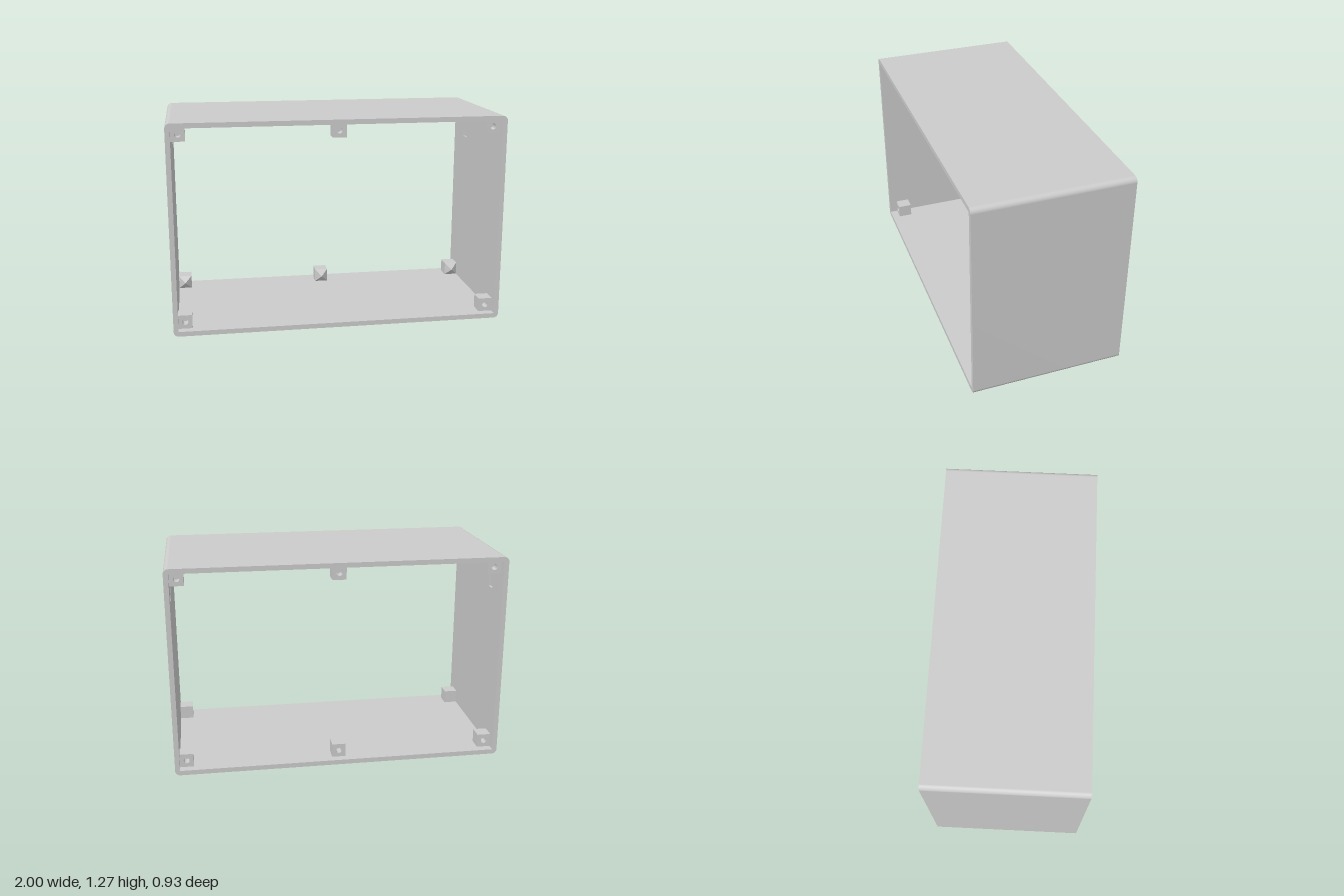
import * as THREE from 'three';
import { toCreasedNormals } from 'three/addons/utils/BufferGeometryUtils.js';

const W = 1, H = 1.268, D = 0.463;   // half width, height, half depth
const T = 0.029, R = 0.03;           // wall thickness, outer corner radius
const S = 0.083;                     // screw block size
const SET = 0.05;                    // setback of the blocks from the openings

const grey = new THREE.MeshStandardMaterial({ color: 0xcccccc, side: THREE.DoubleSide });
const flatGrey = new THREE.MeshStandardMaterial({ color: 0xcccccc, side: THREE.DoubleSide, flatShading: true });

function add(parent, name, geometry, material = grey) {
  const mesh = new THREE.Mesh(geometry, material);
  mesh.name = name;
  parent.add(mesh);
  return mesh;
}

// Regular polygon outline; four sides give an upright square
function ring(r, sides, cx = 0, cy = 0) {
  const points = [];
  for (let i = 0; i < sides; i++) {
    const a = Math.PI / 4 + (i / sides) * Math.PI * 2;
    points.push(new THREE.Vector2(cx + r * Math.cos(a), cy + r * Math.sin(a)));
  }
  return points;
}

function rectangle(w, h) {
  return [[-1, -1], [1, -1], [1, 1], [-1, 1]].map(([x, y]) => new THREE.Vector2(x * w / 2, y * h / 2));
}

// Flat panel facing +z, with shallow pits sunk into it
function panel(name, w, h, pits = [], r = 0, sides = 4, depth = 0) {
  const group = new THREE.Group();
  group.name = name;
  const shape = new THREE.Shape(rectangle(w, h));
  for (const [x, y] of pits) {
    shape.holes.push(new THREE.Path(ring(r, sides, x, y)));
    const wall = new THREE.CylinderGeometry(r, r, depth, sides, 1, true, Math.PI / 4);
    wall.rotateX(Math.PI / 2);
    add(group, 'pitWall', wall, sides === 4 ? flatGrey : grey).position.set(x, y, -depth / 2);
    add(group, 'pitFloor', new THREE.CircleGeometry(r, sides, Math.PI / 4)).position.set(x, y, -depth);
  }
  add(group, 'panelFace', new THREE.ShapeGeometry(shape));
  return group;
}

// Block with a blind screw hole facing +z; its front lies at z = 0
function screwBlock(tapered) {
  const group = new THREE.Group();
  group.name = 'screwBlock';
  const holeDepth = 0.06, backing = 0.028;
  const shape = new THREE.Shape(rectangle(S, S));
  shape.holes.push(new THREE.Path(ring(0.018, 24)));
  const front = new THREE.ExtrudeGeometry(shape, { depth: holeDepth, bevelEnabled: false });
  add(group, 'drilledFront', toCreasedNormals(front, 0.6)).position.z = -holeDepth;
  add(group, 'backing', new THREE.BoxGeometry(S, S, backing)).position.z = -holeDepth - backing / 2;
  if (tapered) {
    // Low pyramid on the rear face
    const h = 0.032;
    const tip = new THREE.ConeGeometry(S / Math.SQRT2, h, 4, 1, true, Math.PI / 4);
    tip.rotateX(-Math.PI / 2);
    add(group, 'pyramidTip', tip, flatGrey).position.z = -holeDepth - backing - h / 2;
  }
  return group;
}

export function createModel() {
  const model = new THREE.Group();
  model.name = 'openCase';

  // Outline of the case, running round from bottom right to bottom left
  const outline = new THREE.Path();
  [[1, R], [1, H - R], [-1, H - R], [-1, R]].forEach(([side, y], i) => {
    const a = (i - 1) * Math.PI / 2;
    outline.absarc(side * (W - R), y, R, a, a + Math.PI / 2, false);
  });
  const points = outline.getPoints(5);

  // Outer skin: both sides, top and the rounded corners
  const skin = new THREE.PlaneGeometry(1, 1, points.length - 1, 1);
  const pos = skin.attributes.position;
  for (let i = 0; i < pos.count; i++) {
    const p = points[i % points.length];
    pos.setXYZ(i, p.x, p.y, i < points.length ? D : -D);
  }
  skin.computeVertexNormals();
  add(model, 'outerSkin', skin);

  // Rims round the front and back openings
  const innerW = 2 * (W - T), innerH = H - 2 * T;
  const rimShape = new THREE.Shape(points);
  rimShape.holes.push(new THREE.Path(rectangle(innerW, innerH).map(p => p.setY(p.y + H / 2))));
  const rim = new THREE.ShapeGeometry(rimShape);
  add(model, 'frontRim', rim).position.z = D;
  const backRim = add(model, 'backRim', rim);
  backRim.position.z = -D;
  backRim.rotation.y = Math.PI;

  // Underside with four round foot recesses
  const feet = [];
  for (const x of [-0.86, 0.86]) for (const z of [-0.345, 0.345]) feet.push([x, z]);
  const underside = panel('underside', 2 * (W - R), 2 * D, feet, 0.047, 32, 0.01);
  underside.rotation.x = Math.PI / 2;
  model.add(underside);

  // Inner floor and ceiling
  const floor = panel('innerFloor', innerW, 2 * D);
  floor.rotation.x = -Math.PI / 2;
  floor.position.y = T;
  const ceiling = panel('innerCeiling', innerW, 2 * D);
  ceiling.rotation.x = Math.PI / 2;
  ceiling.position.y = H - T;
  model.add(floor, ceiling);

  // Inner side walls, each with a small square notch near the back
  for (const side of [1, -1]) {
    const notch = [[side * -0.245, 1.065 - H / 2]];
    const wall = panel(side > 0 ? 'leftInnerWall' : 'rightInnerWall', 2 * D, innerH, notch, 0.05, 4, 0.015);
    wall.rotation.y = -side * Math.PI / 2;
    wall.position.set(side * (W - T), H / 2, 0);
    model.add(wall);
  }

  // Screw blocks at the corners and middles; the front has none at bottom middle
  const edgeX = W - T - S / 2;
  for (const front of [true, false]) {
    for (const x of [-edgeX, 0, edgeX]) {
      for (const y of [T + S / 2, H - T - S / 2]) {
        if (front && x === 0 && y < H / 2) continue;
        const block = screwBlock(!front);
        block.position.set(x, y, front ? D - SET : SET - D);
        if (!front) block.rotation.y = Math.PI;
        model.add(block);
      }
    }
  }
  return model;
}
